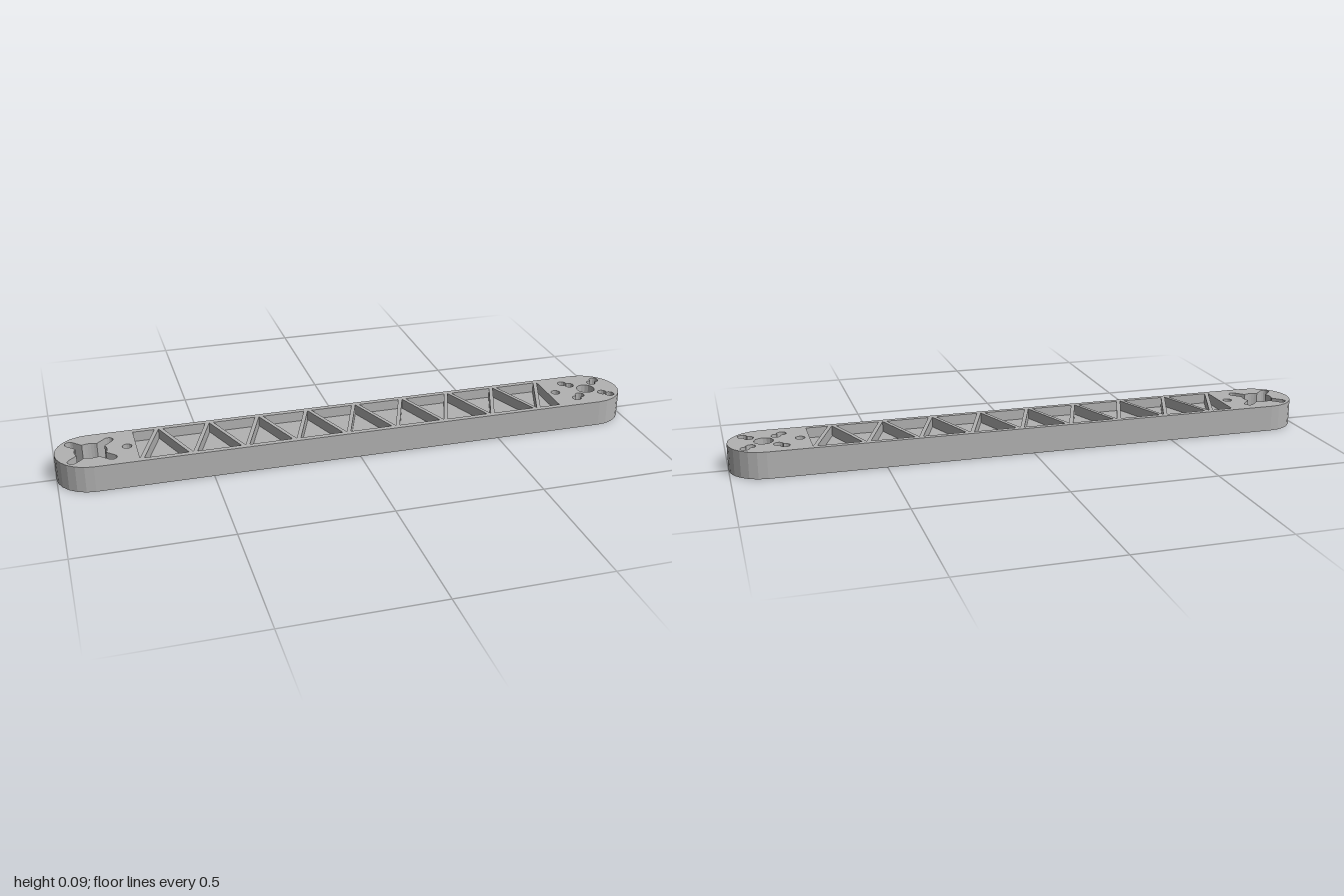
import * as THREE from 'three';

const HEIGHT = 0.09, HALF_WIDTH = 0.117, END_X = 0.883;
const TRUSS_X = 0.735, TRUSS_Z = 0.098, WEB = 0.02;
const HOLE_R = 0.016;

const polar = (cx, cy, r, a) => new THREE.Vector2(cx + r * Math.cos(a), cy + r * Math.sin(a));

// points along an arc, ends included
function arc(cx, cy, r, from, to, steps) {
  return Array.from({ length: steps + 1 }, (_, i) => polar(cx, cy, r, from + (to - from) * i / steps));
}

const circle = (cx, cy, r, steps) => arc(cx, cy, r, 0, Math.PI * 2, steps).slice(0, -1);

// two overlapping round holes, lying along direction a
function doubleHole(cx, cy, near, far, a) {
  const open = Math.acos((far - near) / 2 / HOLE_R);
  const p = polar(cx, cy, far, a), q = polar(cx, cy, near, a);
  return [
    ...arc(p.x, p.y, HOLE_R, a - Math.PI + open, a + Math.PI - open, 10),
    ...arc(q.x, q.y, HOLE_R, a + open, a + 2 * Math.PI - open, 10).slice(1, -1),
  ];
}

// round bore joined to four diagonal round-ended slots
function crossHole(cx, cy, bore, reach) {
  const pts = [], half = Math.asin(HOLE_R / bore);
  for (let k = 0; k < 4; k++) {
    const a = Math.PI / 4 + k * Math.PI / 2;
    const end = polar(cx, cy, reach, a);
    pts.push(...arc(end.x, end.y, HOLE_R, a - Math.PI / 2, a + Math.PI / 2, 6));
    pts.push(...arc(cx, cy, bore, a + half, a + Math.PI / 2 - half, 5));
  }
  return pts;
}

// alternating triangular openings, with half triangles at both ends
function trussOpenings() {
  const step = TRUSS_X * 2 / 17, w = step - 0.014, z = TRUSS_Z;
  const tri = (...p) => p.map(([x, y]) => new THREE.Vector2(x, y));
  const list = [
    tri([-TRUSS_X, z], [-TRUSS_X, -z], [-TRUSS_X + w, z]),
    tri([TRUSS_X, -z], [TRUSS_X, z], [TRUSS_X - w, -z]),
  ];
  for (let i = 1; i <= 16; i++) {
    const x = -TRUSS_X + i * step, s = i % 2 ? 1 : -1;
    list.push(tri([x - w, -s * z], [x + w, -s * z], [x, s * z]));
  }
  return list;
}

export function createModel() {
  const group = new THREE.Group();
  group.name = 'trussArm';
  const grey = new THREE.MeshStandardMaterial({ color: 0xb2b2b2 });
  grey.name = 'grey';

  // rounded bar outline
  const outline = new THREE.Shape([
    ...arc(END_X, 0, HALF_WIDTH, -Math.PI / 2, Math.PI / 2, 12),
    ...arc(-END_X, 0, HALF_WIDTH, Math.PI / 2, Math.PI * 1.5, 12),
  ]);

  // mounting holes at the ends and truss openings between
  const holes = [
    crossHole(-END_X, 0, 0.053, 0.09),
    circle(END_X, 0, 0.032, 16),
    circle(-0.765, 0, HOLE_R, 12),
    circle(0.765, 0, HOLE_R, 12),
    ...trussOpenings(),
  ];
  for (let k = 0; k < 4; k++) {
    holes.push(doubleHole(END_X, 0, 0.062, 0.09, Math.PI / 4 + k * Math.PI / 2));
  }
  outline.holes = holes.map((pts) => new THREE.Path(pts));

  const barGeometry = new THREE.ExtrudeGeometry(outline, { depth: HEIGHT, bevelEnabled: false });
  barGeometry.rotateX(-Math.PI / 2);
  const bar = new THREE.Mesh(barGeometry, grey);
  bar.name = 'bar';
  group.add(bar);

  // thin floor halfway up, closing the openings into pockets on both sides
  const web = new THREE.Mesh(new THREE.BoxGeometry(TRUSS_X * 2 + 0.006, WEB, TRUSS_Z * 2 + 0.006), grey);
  web.name = 'web';
  web.position.y = HEIGHT / 2;
  group.add(web);

  return group;
}
